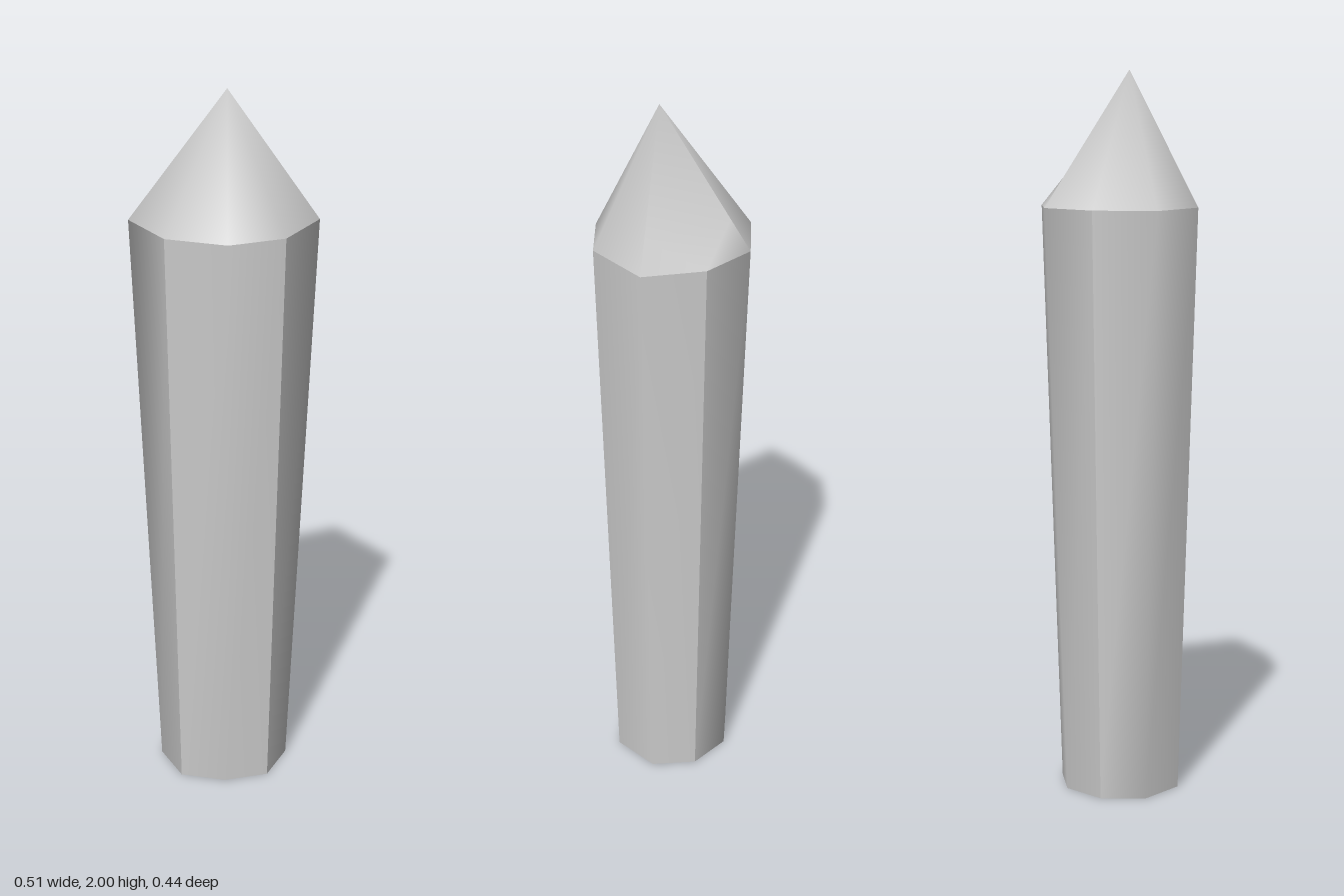
import * as THREE from 'three';

// Eight-sided outlines as [x, z], running counter-clockwise seen from above
const topRing = [[0.007, 0.22], [0.16, 0.16], [0.257, -0.015], [0.16, -0.16],
  [0.007, -0.222], [-0.16, -0.16], [-0.258, -0.015], [-0.16, 0.16]];
const bottomRing = [[0, 0.155], [0.122, 0.122], [0.18, -0.01], [0.122, -0.12],
  [0, -0.163], [-0.125, -0.12], [-0.183, -0.01], [-0.125, 0.122]];
const shoulder = 1.63;

const ring = (outline, y) => outline.map(([x, z]) => new THREE.Vector3(x, y, z));

function surface(name, points, faces) {
  const geometry = new THREE.BufferGeometry().setFromPoints(points);
  geometry.setIndex(faces.flat());
  geometry.computeVertexNormals();
  const material = new THREE.MeshStandardMaterial({ color: 0xcccccc, side: THREE.DoubleSide });
  const mesh = new THREE.Mesh(geometry, material);
  mesh.name = name;
  return mesh;
}

export function createModel() {
  const model = new THREE.Group();
  model.name = 'pointedCrystal';
  const top = ring(topRing, shoulder);
  const bottom = ring(bottomRing, 0);

  // Tapered shaft: four smooth sides that meet in hard corner edges
  const shaft = new THREE.Group();
  shaft.name = 'shaft';
  for (let corner = 1; corner < 8; corner += 2) {
    const columns = [0, 1, 2].map((k) => (corner + k) % 8);
    const points = [...columns.map((c) => bottom[c]), ...columns.map((c) => top[c])];
    const faces = [0, 1].flatMap((k) => [[k, k + 1, k + 4], [k, k + 4, k + 3]]);
    shaft.add(surface('shaftSide', points, faces));
  }
  model.add(shaft);

  // Flat underside
  const baseFaces = [...Array(8).keys()].map((i) => [8, (i + 1) % 8, i]);
  model.add(surface('base', [...bottom, new THREE.Vector3()], baseFaces));

  // Pointed tip, with a chipped facet on its back corner at +x
  const apex = new THREE.Vector3(0.007, 2, 0.035);
  const chipSide = apex.clone().lerp(top[2], 0.78);
  const chipBack = apex.clone().lerp(top[4], 0.78);
  const tipFaces = [0, 1, 4, 5, 6, 7].map((i) => [i, (i + 1) % 8, 8]);
  tipFaces.push([2, 3, 9], [3, 10, 9], [3, 4, 10], [9, 10, 8]);
  model.add(surface('tip', [...top, apex, chipSide, chipBack], tipFaces));

  return model;
}
